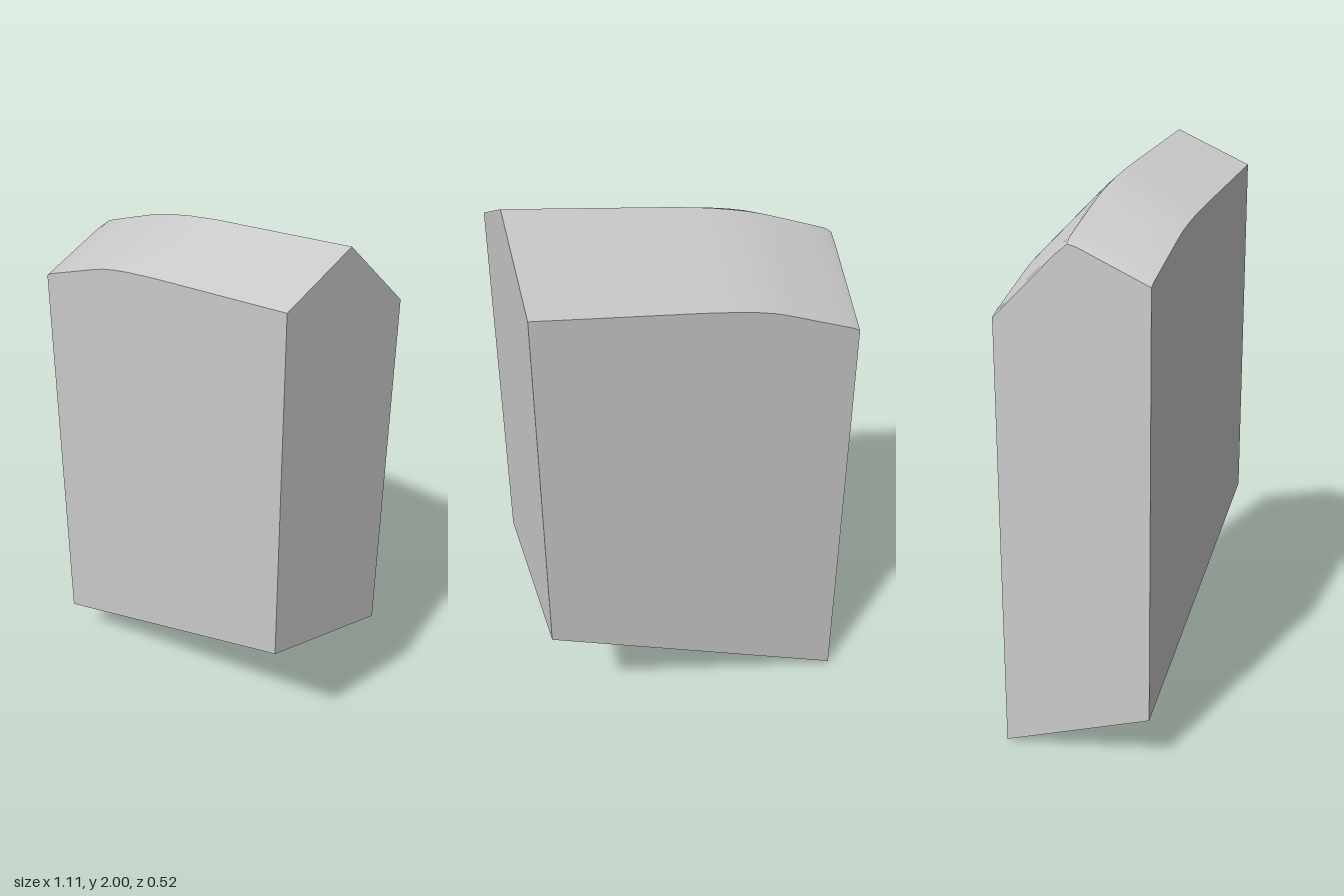
import * as THREE from 'three';
import { toCreasedNormals } from 'three/addons/utils/BufferGeometryUtils.js';

const HALF_X = 0.557, HALF_Z = 0.261;
const RIDGE_Z = -0.006;

// Stations along the ridge: x, ridge height, back shoulder z, ridge drop, front shoulder z
const STATIONS = [
  [-HALF_X, 1.757, -0.045, 0.006, 0.025],
  [-0.535, 1.77, -0.016, 0.001, 0.03],
  [-0.44, 1.806, -0.018, 0.001, 0.045],
  [-0.31, 1.856, -0.024, 0.003, 0.04],
  [-0.25, 1.877, -0.035, 0.005, 0.025],
  [-0.19, 1.892, -0.035, 0.005, 0.022],
  [-0.12, 1.906, -0.027, 0.003, 0.025],
  [0, 1.925, -0.016, 0.001, 0.03],
  [HALF_X, 2.0, -0.015, 0, 0.012],
];

const lerp = THREE.MathUtils.lerp;

// One cross-section, from the back foot over the roof to the front foot
function section([x, ridge, backZ, drop, frontZ]) {
  const t = (x + HALF_X) / (2 * HALF_X);
  const backEave = ridge - 0.25, frontEave = ridge - 0.12;
  const onBack = (z) => lerp(backEave, ridge, (z + HALF_Z) / (RIDGE_Z + HALF_Z));
  const onFront = (z) => lerp(ridge, frontEave, (z - RIDGE_Z) / (HALF_Z - RIDGE_Z));
  return [
    [lerp(0, 0.48, t), -HALF_Z],
    [backEave, -HALF_Z],
    [onBack(backZ), backZ],
    [ridge - drop, RIDGE_Z],
    [onFront(frontZ), frontZ],
    [frontEave, HALF_Z],
    [lerp(0.18, 0.62, t), HALF_Z],
  ].map(([y, z]) => [x, y, z]);
}

function blockGeometry() {
  const rings = STATIONS.map(section);
  const pos = [];
  const tri = (a, b, c) => pos.push(...a, ...b, ...c);
  const quad = (a, b, c, d) => { tri(a, b, c); tri(a, c, d); };

  // Walls and roof slopes
  for (let i = 0; i < rings.length - 1; i++) {
    const p = rings[i], q = rings[i + 1];
    for (let j = 0; j < p.length - 1; j++) quad(p[j], p[j + 1], q[j + 1], q[j]);
  }

  // Gable ends
  const first = rings[0], last = rings[rings.length - 1], n = first.length;
  for (let j = 1; j < n - 1; j++) {
    tri(first[0], first[j + 1], first[j]);
    tri(last[0], last[j], last[j + 1]);
  }

  // Slanted underside, folded along its diagonal
  quad(first[0], last[0], last[n - 1], first[n - 1]);

  const geometry = new THREE.BufferGeometry();
  geometry.setAttribute('position', new THREE.Float32BufferAttribute(pos, 3));
  return toCreasedNormals(geometry, 0.5);
}

export function createModel() {
  const group = new THREE.Group();
  group.name = 'slantedBlock';
  const block = new THREE.Mesh(
    blockGeometry(),
    new THREE.MeshStandardMaterial({ color: 0xcccccc })
  );
  block.name = 'ridgedBlock';
  group.add(block);
  return group;
}
